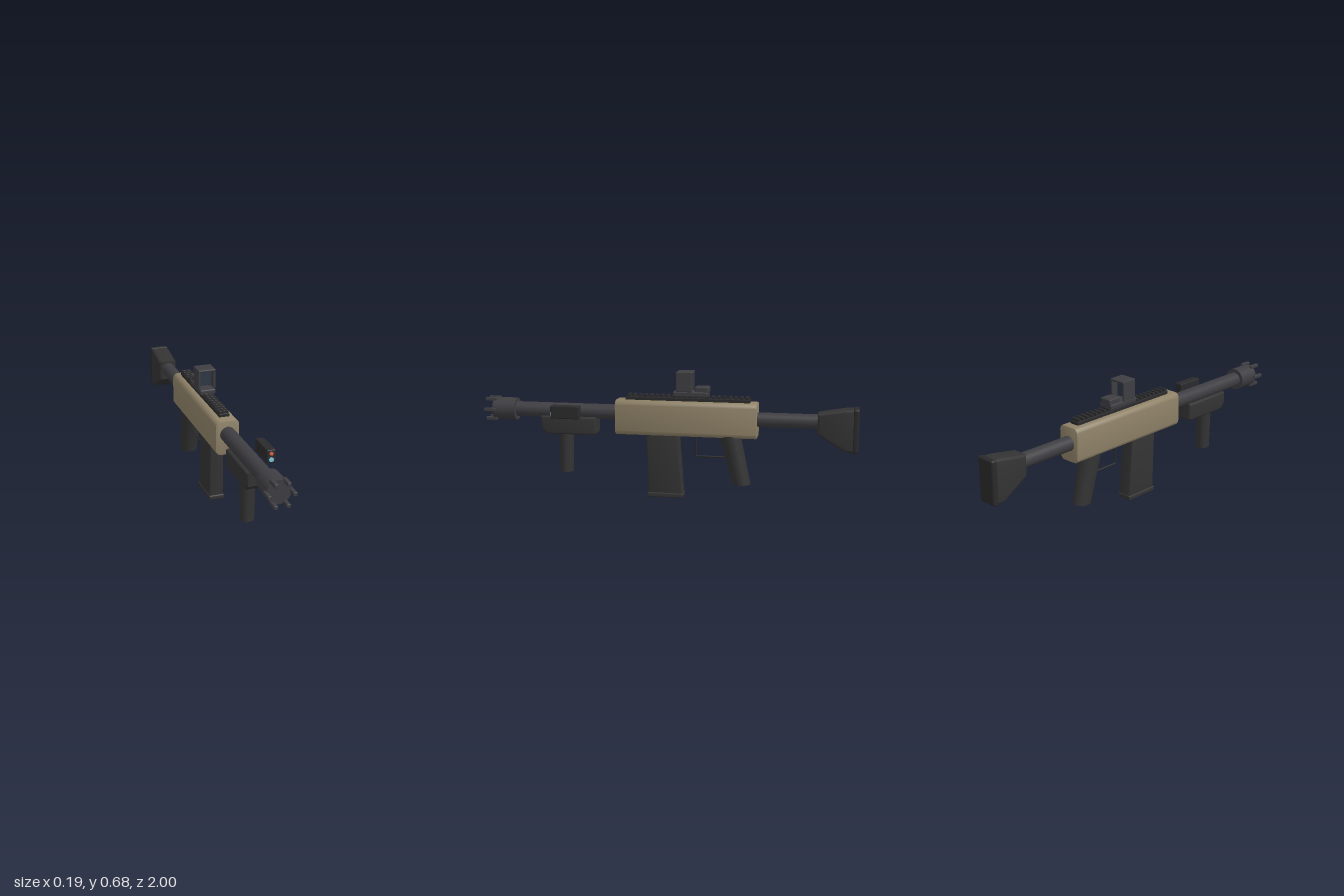
import * as THREE from 'three';
import { toCreasedNormals } from 'three/addons/utils/BufferGeometryUtils.js';
import { RoundedBoxGeometry } from 'three/addons/geometries/RoundedBoxGeometry.js';

const mat = (color) => new THREE.MeshStandardMaterial({ color });
const TAN = mat(0x8f8268), METAL = mat(0x3e3e42), POLYMER = mat(0x333333), DARK = mat(0x2a2a2c);
const GLASS = mat(0x2c3744), RED = mat(0xe2603f), BLUE = mat(0x7fc6de);
const AXIS_Y = 0.448;

export function createModel() {
  const model = new THREE.Group();
  model.name = 'rifle';
  model.position.x = -0.028; // the side-mounted laser shifts the bore off centre

  const add = (name, geometry, material, x = 0, y = 0, z = 0, parent = model) => {
    const mesh = new THREE.Mesh(geometry, material);
    mesh.name = name;
    mesh.position.set(x, y, z);
    parent.add(mesh);
    return mesh;
  };
  const group = (name) => {
    const g = new THREE.Group();
    g.name = name;
    model.add(g);
    return g;
  };
  // Rounded box given by its y and z ranges
  const box = (name, material, w, y0, y1, z0, z1, r = 0.006, x = 0, parent = model) =>
    add(name, new RoundedBoxGeometry(w, y1 - y0, z1 - z0, 2, r), material,
      x, (y0 + y1) / 2, (z0 + z1) / 2, parent);
  // Cylinder along z
  const rod = (name, material, r, y, z0, z1, x = 0, parent = model) =>
    add(name, new THREE.CylinderGeometry(r, r, z1 - z0, 32).rotateX(Math.PI / 2), material,
      x, y, (z0 + z1) / 2, parent);
  // Upright tapered handle whose top is sheared to z1 and bottom to z0
  const handle = (name, material, r0, r1, y0, y1, z0, z1) => {
    const geo = new THREE.CylinderGeometry(r1, r0, y1 - y0, 28, 1).translate(0, (y0 + y1) / 2, 0);
    const p = geo.attributes.position;
    for (let i = 0; i < p.count; i++) {
      p.setZ(i, p.getZ(i) + THREE.MathUtils.mapLinear(p.getY(i), y0, y1, z0, z1));
    }
    return add(name, toCreasedNormals(geo, 0.7), material);
  };
  // Side outline of [z, y] points, extruded across x with bevelled edges
  const sideProfile = (name, material, points, width, bevel) => {
    const shape = new THREE.Shape(points.map(([z, y]) => new THREE.Vector2(z, y)));
    const depth = width - 2 * bevel;
    const geo = new THREE.ExtrudeGeometry(shape, {
      depth, bevelSize: bevel, bevelThickness: bevel, bevelOffset: -bevel, bevelSegments: 3,
    }).translate(0, 0, -depth / 2).rotateY(-Math.PI / 2);
    return add(name, toCreasedNormals(geo, 0.6), material);
  };

  // Receiver: rounded-rectangle section along z
  const w = 0.0625, h = 0.093, r = 0.03;
  const section = new THREE.Shape();
  section.absarc(w - r, h - r, r, 0, Math.PI / 2);
  section.absarc(-w + r, h - r, r, Math.PI / 2, Math.PI);
  section.absarc(-w + r, -h + r, r, Math.PI, Math.PI * 1.5);
  section.absarc(w - r, -h + r, r, Math.PI * 1.5, Math.PI * 2);
  const receiver = new THREE.ExtrudeGeometry(section, {
    depth: 0.74, bevelSize: 0.006, bevelThickness: 0.006, bevelOffset: -0.006,
    bevelSegments: 2, curveSegments: 8,
  });
  add('receiver', toCreasedNormals(receiver, 0.6), TAN, 0, 0.428, -0.474);

  // Barrel and pronged muzzle
  rod('barrel', METAL, 0.04, AXIS_Y, 0.25, 0.84);
  const muzzle = group('muzzle');
  rod('muzzleBody', METAL, 0.06, AXIS_Y, 0.83, 0.955, 0, muzzle);
  for (let i = 0; i < 6; i++) {
    const a = (i * Math.PI) / 3;
    const y = AXIS_Y + 0.061 * Math.sin(a);
    box('muzzleProng', METAL, 0.019, y - 0.0095, y + 0.0095, 0.935, 1, 0.004, 0.061 * Math.cos(a), muzzle);
  }

  // Stock
  rod('bufferTube', METAL, 0.038, 0.433, -0.82, -0.46);
  sideProfile('stock', POLYMER, [
    [-0.79, 0.48], [-0.79, 0.372], [-0.93, 0.284], [-0.985, 0.284], [-0.985, 0.507], [-0.93, 0.505],
  ], 0.1, 0.014);
  box('buttPad', DARK, 0.106, 0.28, 0.511, -1, -0.968, 0.012);

  // Top rail
  const rail = group('topRail');
  box('railBase', DARK, 0.054, 0.515, 0.538, -0.44, 0.22, 0.003, 0, rail);
  for (let i = 0; i < 22; i++) {
    const z = 0.204 - i * 0.03;
    box('railTooth', DARK, 0.05, 0.534, 0.551, z - 0.008, z + 0.008, 0.002, 0, rail);
  }

  // Reflex sight
  const sight = group('sight');
  box('sightBase', METAL, 0.085, 0.545, 0.573, -0.222, -0.037, 0.007, 0, sight);
  box('sightEmitter', METAL, 0.068, 0.568, 0.6, -0.225, -0.152, 0.007, 0, sight);
  for (const s of [-1, 1]) {
    box('sightSide', METAL, 0.013, 0.572, 0.672, -0.138, -0.055, 0.004, s * 0.041, sight);
  }
  box('sightTop', METAL, 0.095, 0.664, 0.677, -0.141, -0.053, 0.005, 0, sight);
  box('sightLens', GLASS, 0.072, 0.578, 0.666, -0.1, -0.092, 0.002, 0, sight);

  // Magazine
  sideProfile('magazine', POLYMER, [
    [0.107, 0.36], [-0.062, 0.36], [-0.088, 0.015], [0.096, 0.015],
  ], 0.075, 0.007);
  box('magazineFloor', POLYMER, 0.085, 0, 0.026, -0.091, 0.103, 0.007);

  // Pistol grip and trigger guard
  handle('pistolGrip', POLYMER, 0.047, 0.057, 0.086, 0.345, -0.4, -0.335);
  const guard = new THREE.CurvePath();
  const corners = [[0.34, -0.155], [0.225, -0.155], [0.225, -0.33]]
    .map(([y, z]) => new THREE.Vector3(0, y, z));
  guard.add(new THREE.LineCurve3(corners[0], corners[1]));
  guard.add(new THREE.LineCurve3(corners[1], corners[2]));
  add('triggerGuard', new THREE.TubeGeometry(guard, 40, 0.005, 8), DARK);

  // Fore-end with vertical grip
  sideProfile('foreEnd', POLYMER, [
    [0.683, 0.42], [0.38, 0.42], [0.38, 0.335], [0.39, 0.324], [0.652, 0.324], [0.683, 0.352],
  ], 0.098, 0.01);
  handle('foreGrip', POLYMER, 0.036, 0.04, 0.114, 0.335, 0.557, 0.557);

  // Side laser unit with two lenses
  const laser = group('laser');
  box('laserBody', DARK, 0.045, 0.421, 0.49, 0.452, 0.608, 0.006, 0.101, laser);
  rod('redLens', RED, 0.0095, 0.471, 0.6, 0.612, 0.101, laser);
  rod('blueLens', BLUE, 0.012, 0.44, 0.6, 0.612, 0.101, laser);

  return model;
}
